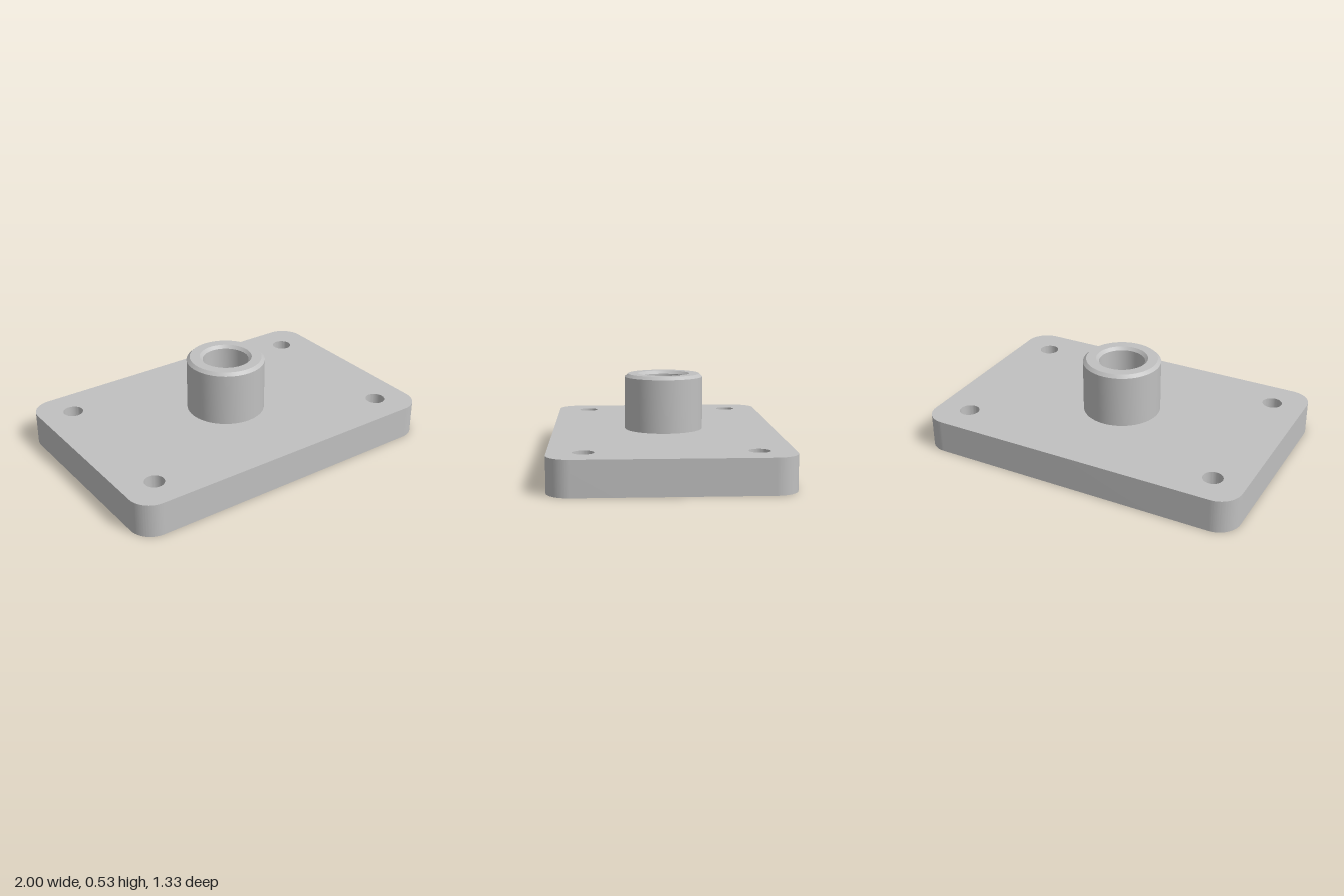
import * as THREE from 'three';
import { toCreasedNormals } from 'three/addons/utils/BufferGeometryUtils.js';

const HALF_W = 1, HALF_D = 0.667, CORNER = 0.133, THICK = 0.2;
const CREASE = 0.5;

// Rounded rectangle with four bolt holes
function plateShape() {
  const x = HALF_W - CORNER, y = HALF_D - CORNER, q = Math.PI / 2;
  const shape = new THREE.Shape();
  shape.absarc(x, y, CORNER, 0, q);
  shape.absarc(-x, y, CORNER, q, 2 * q);
  shape.absarc(-x, -y, CORNER, 2 * q, 3 * q);
  shape.absarc(x, -y, CORNER, 3 * q, 4 * q);
  shape.closePath();
  for (const sx of [-1, 1]) {
    for (const sy of [-1, 1]) {
      const hole = new THREE.Path();
      hole.absarc(sx * 0.8, sy * 0.467, 0.059, 0, Math.PI * 2, true);
      shape.holes.push(hole);
    }
  }
  return shape;
}

export function createModel() {
  const group = new THREE.Group();
  group.name = 'flangedBossPlate';
  const metal = new THREE.MeshStandardMaterial({ color: 0xc0c0c0 });
  metal.name = 'grey metal';

  // Base plate
  const plate = new THREE.ExtrudeGeometry(plateShape(), {
    depth: THICK, bevelEnabled: false, curveSegments: 24,
  });
  plate.rotateX(-Math.PI / 2);
  const base = new THREE.Mesh(toCreasedNormals(plate, CREASE), metal);
  base.name = 'basePlate';
  group.add(base);

  // Hollow boss, chamfered inside and out; the plate closes its bore
  const profile = [
    [0.233, THICK], [0.233, 0.515], [0.214, 0.533],
    [0.155, 0.533], [0.137, 0.515], [0.137, THICK],
  ].map(([r, y]) => new THREE.Vector2(r, y));
  const lathe = new THREE.LatheGeometry(profile, 72);
  const boss = new THREE.Mesh(toCreasedNormals(lathe, CREASE), metal);
  boss.name = 'boss';
  group.add(boss);

  return group;
}
